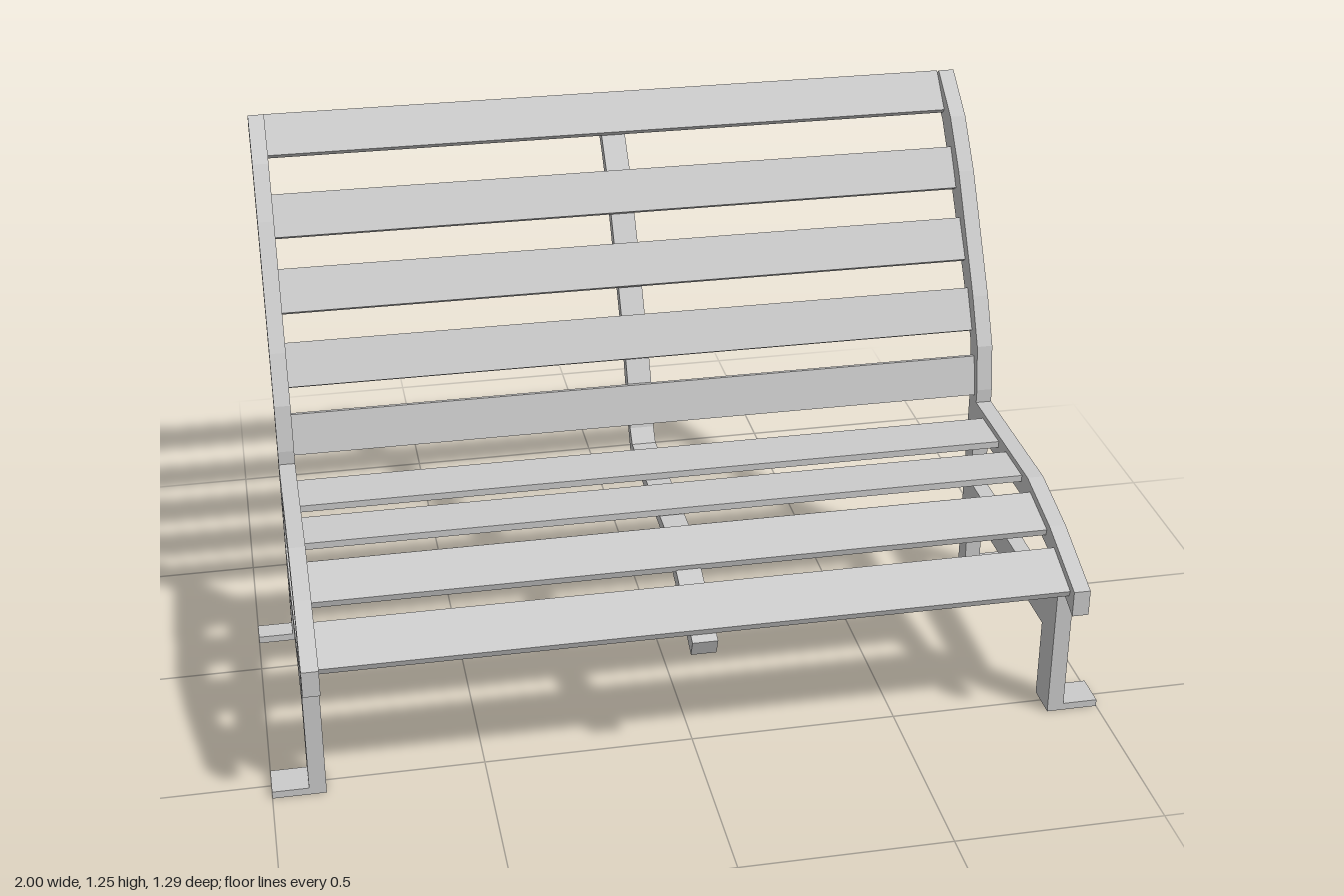
import * as THREE from 'three';

const material = new THREE.MeshStandardMaterial({ color: 0xcccccc, flatShading: true });
const toPoints = (list) => list.map(([z, y]) => new THREE.Vector2(z, y));

// Extrudes a side profile, given as [z, y] points, across the bench and centres it on x.
function profileMesh(name, outline, width, x = 0, hole = null) {
  const shape = new THREE.Shape(toPoints(outline));
  if (hole) shape.holes.push(new THREE.Path(toPoints(hole)));
  const geometry = new THREE.ExtrudeGeometry(shape, { depth: width, bevelEnabled: false });
  geometry.translate(0, 0, -width / 2);
  geometry.rotateY(-Math.PI / 2);
  const mesh = new THREE.Mesh(geometry, material);
  mesh.name = name;
  mesh.position.x = x;
  return mesh;
}

// A thin board whose visible face runs from a to b in the side profile.
function slat(name, a, b) {
  const t = 0.017;
  const length = Math.hypot(b[0] - a[0], b[1] - a[1]);
  const nz = -(b[1] - a[1]) / length * t;
  const ny = (b[0] - a[0]) / length * t;
  return profileMesh(name, [a, b, [b[0] + nz, b[1] + ny], [a[0] + nz, a[1] + ny]], 1.75);
}

// Side frame: legs, stretcher, seat rail and curved back in one piece
const FRAME = [
  [0.65, 0.335], [0.65, 0.4], [0.46, 0.47], [0.29, 0.51], [-0.12, 0.51],
  [-0.12, 0.545], [-0.14, 0.66], [-0.2, 0.775], [-0.375, 1.05], [-0.47, 1.165], [-0.59, 1.25],
  [-0.645, 1.21], [-0.535, 1.135], [-0.445, 1.02], [-0.245, 0.735], [-0.2, 0.66], [-0.175, 0.55],
  [-0.175, 0], [-0.12, 0], [-0.12, 0.203], [0.465, 0.203], [0.465, 0], [0.55, 0], [0.55, 0.375],
];
const FRAME_OPENING = [
  [0.465, 0.275], [0.465, 0.408], [0.34, 0.435], [0.25, 0.443], [-0.12, 0.443], [-0.12, 0.275],
];

// Centre brace: lower and rear edge, then back along the underside of the slats
const BRACE = [
  [0.62, 0.32], [0.545, 0.355], [0.44, 0.4], [0.35, 0.433], [0.24, 0.446], [-0.145, 0.446],
  [-0.175, 0.5], [-0.24, 0.67], [-0.36, 0.86], [-0.47, 1.03], [-0.535, 1.105], [-0.645, 1.21],
  [-0.617, 1.234], [-0.465, 1.08], [-0.36, 0.925], [-0.205, 0.675], [-0.178, 0.622],
  [-0.148, 0.51], [-0.12, 0.478], [0.3, 0.475], [0.45, 0.438], [0.637, 0.362],
];

const SEAT_SLATS = [
  [[0.625, 0.388], [0.5, 0.435]],
  [[0.445, 0.452], [0.315, 0.484]],
  [[0.25, 0.495], [0.125, 0.495]],
  [[0.07, 0.495], [-0.06, 0.495]],
];
const BACK_SLATS = [
  [[-0.135, 0.525], [-0.16, 0.625]],
  [[-0.19, 0.685], [-0.246, 0.78]],
  [[-0.28, 0.845], [-0.345, 0.935]],
  [[-0.39, 1.0], [-0.452, 1.09]],
  [[-0.525, 1.165], [-0.605, 1.245]],
];

export function createModel() {
  const bench = new THREE.Group();
  bench.name = 'bench';

  for (const [side, s] of [['left', 1], ['right', -1]]) {
    bench.add(profileMesh(`${side}Frame`, FRAME, 0.04, s * 0.895, FRAME_OPENING));
    // Foot plates reaching outward from each leg
    for (const [leg, z, depth] of [['Front', 0.5075, 0.085], ['Back', -0.1475, 0.055]]) {
      const foot = new THREE.Mesh(new THREE.BoxGeometry(0.085, 0.018, depth), material);
      foot.name = `${side}${leg}Foot`;
      foot.position.set(s * 0.9575, 0.009, z);
      bench.add(foot);
    }
  }

  bench.add(profileMesh('centreBrace', BRACE, 0.06));
  SEAT_SLATS.forEach(([a, b], i) => bench.add(slat(`seatSlat${i + 1}`, a, b)));
  BACK_SLATS.forEach(([a, b], i) => bench.add(slat(`backSlat${i + 1}`, a, b)));
  return bench;
}
